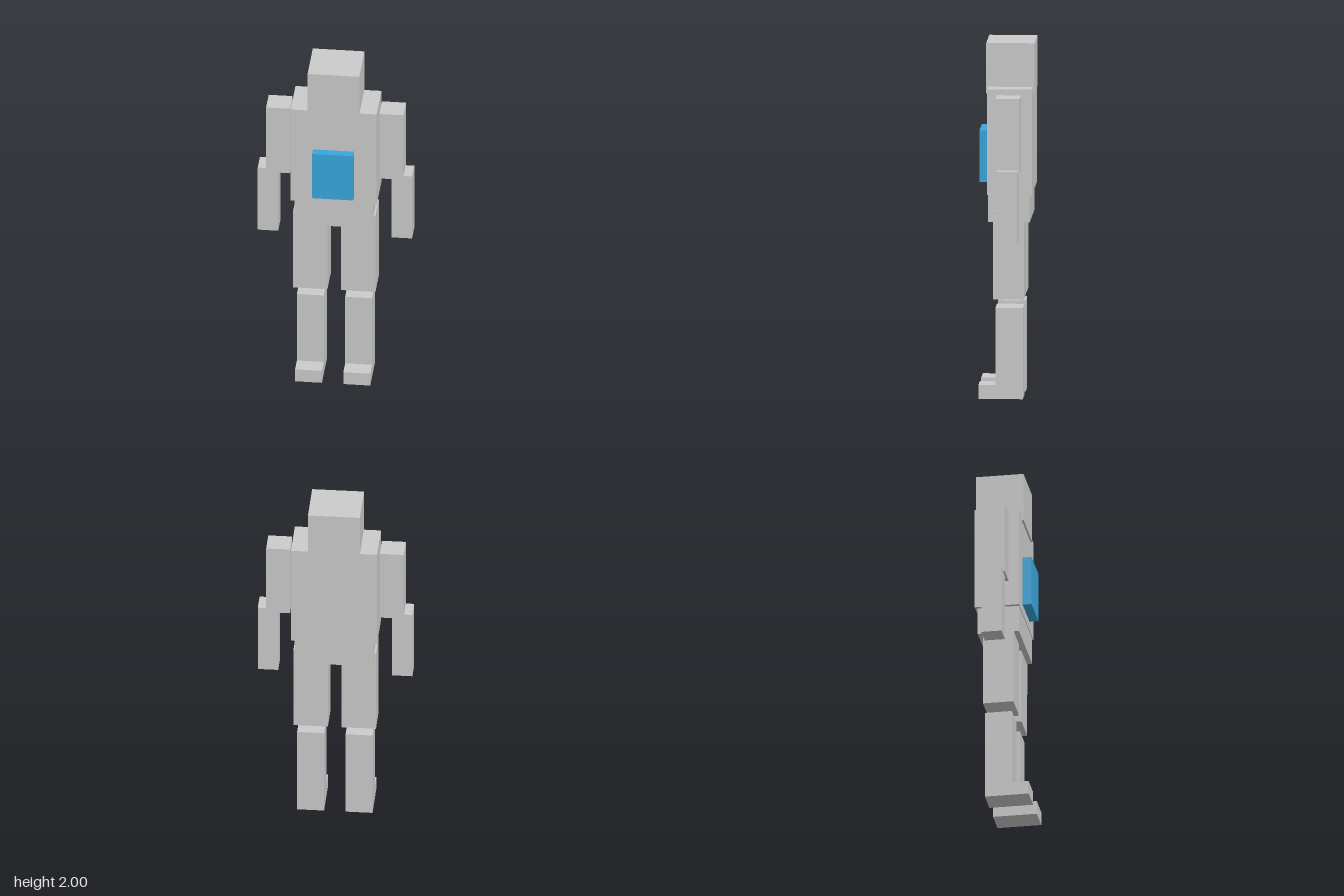
import * as THREE from 'three';

const grey = new THREE.MeshStandardMaterial({ color: 0xcccccc });
const blue = new THREE.MeshStandardMaterial({ color: 0x3aa6dd });

// Box given by its extents along each axis
function block(name, [x0, x1], [y0, y1], [z0, z1], material = grey) {
  const mesh = new THREE.Mesh(new THREE.BoxGeometry(x1 - x0, y1 - y0, z1 - z0), material);
  mesh.position.set((x0 + x1) / 2, (y0 + y1) / 2, (z0 + z1) / 2);
  mesh.name = name;
  return mesh;
}

// Shin and foot in one piece: an L-shaped side profile extruded across the leg
function lowerLeg(name, [x0, x1]) {
  const back = -0.095, shinFront = 0.058, toe = 0.153, footTop = 0.078, top = 0.515;
  const profile = new THREE.Shape([
    [back, 0], [toe, 0], [toe, footTop], [shinFront, footTop], [shinFront, top], [back, top],
  ].map(([z, y]) => new THREE.Vector2(-z, y)));
  const geometry = new THREE.ExtrudeGeometry(profile, { depth: x1 - x0, bevelEnabled: false });
  geometry.rotateY(Math.PI / 2); // profile x becomes -z, extrusion runs along +x
  const mesh = new THREE.Mesh(geometry, grey);
  mesh.position.x = x0;
  mesh.name = name;
  return mesh;
}

export function createModel() {
  const model = new THREE.Group();
  model.name = 'blockFigure';

  // Head, body and chest panel
  model.add(
    block('head', [-0.145, 0.145], [1.715, 2], [-0.157, 0.113]),
    block('torso', [-0.241, 0.241], [1.155, 1.753], [-0.147, 0.103]),
    block('chestPanel', [-0.115, 0.115], [1.21, 1.5], [0.103, 0.153], blue),
    block('pelvis', [-0.22, 0.22], [1, 1.155], [-0.134, 0.1]),
  );

  // Arms and legs, mirrored left (+x) and right (-x)
  for (const [side, s] of [['left', 1], ['right', -1]]) {
    const span = (inner, outer) => (s > 0 ? [inner, outer] : [-outer, -inner]);
    model.add(
      block(side + 'UpperArm', span(0.251, 0.385), [1.298, 1.722], [-0.088, 0.046]),
      block(side + 'Forearm', span(0.318, 0.433), [0.91, 1.318], [-0.077, 0.037]),
      block(side + 'Thigh', span(0.038, 0.231), [0.565, 1.065], [-0.102, 0.07]),
      lowerLeg(side + 'LowerLeg', span(0.06, 0.211)),
    );
  }
  return model;
}
